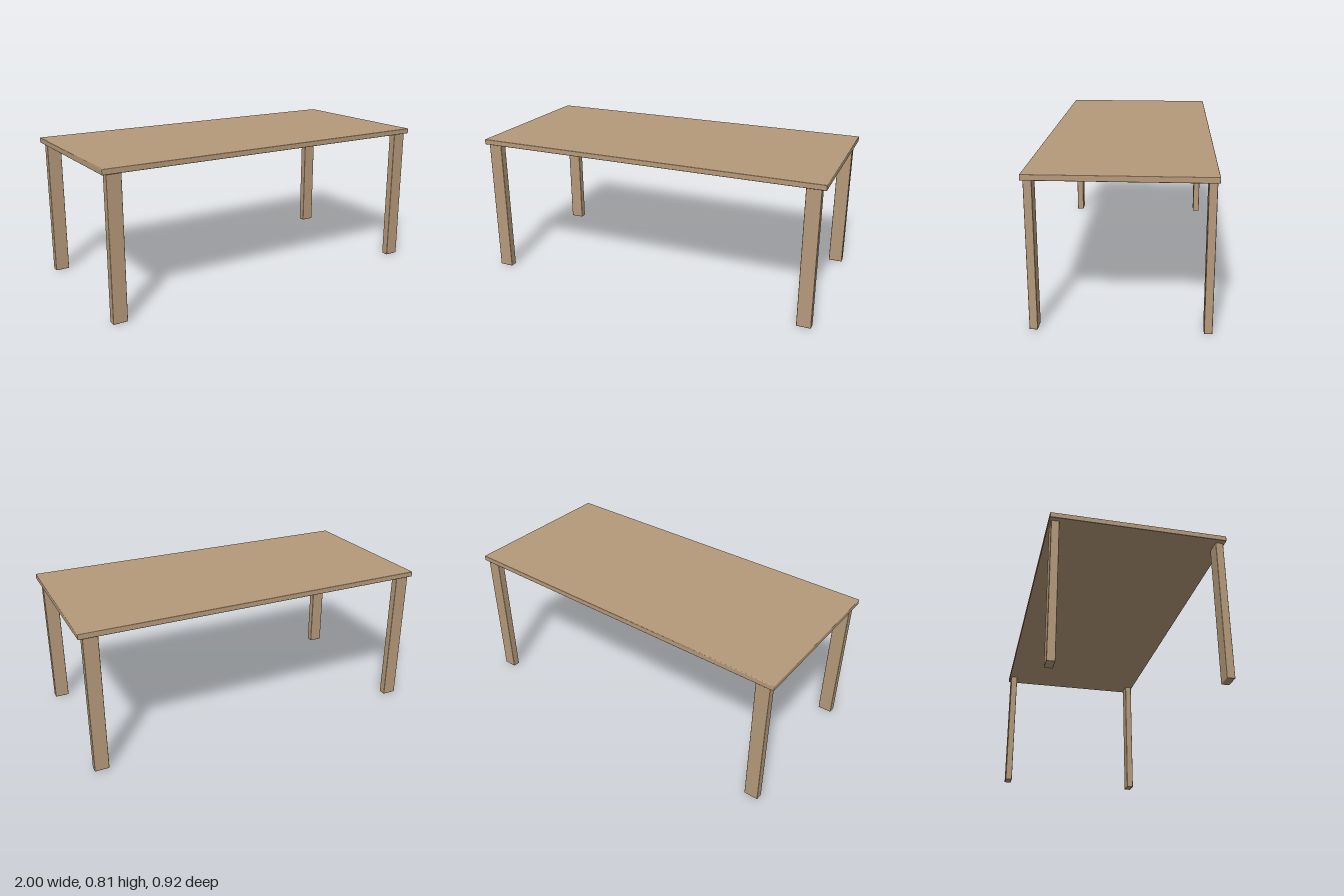
import * as THREE from 'three';
import { RoundedBoxGeometry } from 'three/addons/geometries/RoundedBoxGeometry.js';

export function createModel() {
  const table = new THREE.Group();
  table.name = 'table';
  const wood = new THREE.MeshStandardMaterial({ color: 0xb59a7a });

  // Box with slightly eased edges, placed by its centre
  function board(name, w, h, d, x, y, z) {
    const mesh = new THREE.Mesh(new RoundedBoxGeometry(w, h, d, 2, 0.004), wood);
    mesh.name = name;
    mesh.position.set(x, y, z);
    table.add(mesh);
  }

  // Thin rectangular top
  const legHeight = 0.776, topThickness = 0.03;
  board('tableTop', 2, topThickness, 0.924, 0, legHeight + topThickness / 2, 0);

  // Four flat legs, wide side facing front, set just inside the corners
  for (const [side, sx] of [['Left', 1], ['Right', -1]]) {
    for (const [end, sz] of [['front', 1], ['back', -1]]) {
      board(`${end}${side}Leg`, 0.08, legHeight, 0.042, sx * 0.936, legHeight / 2, sz * 0.431);
    }
  }

  return table;
}
